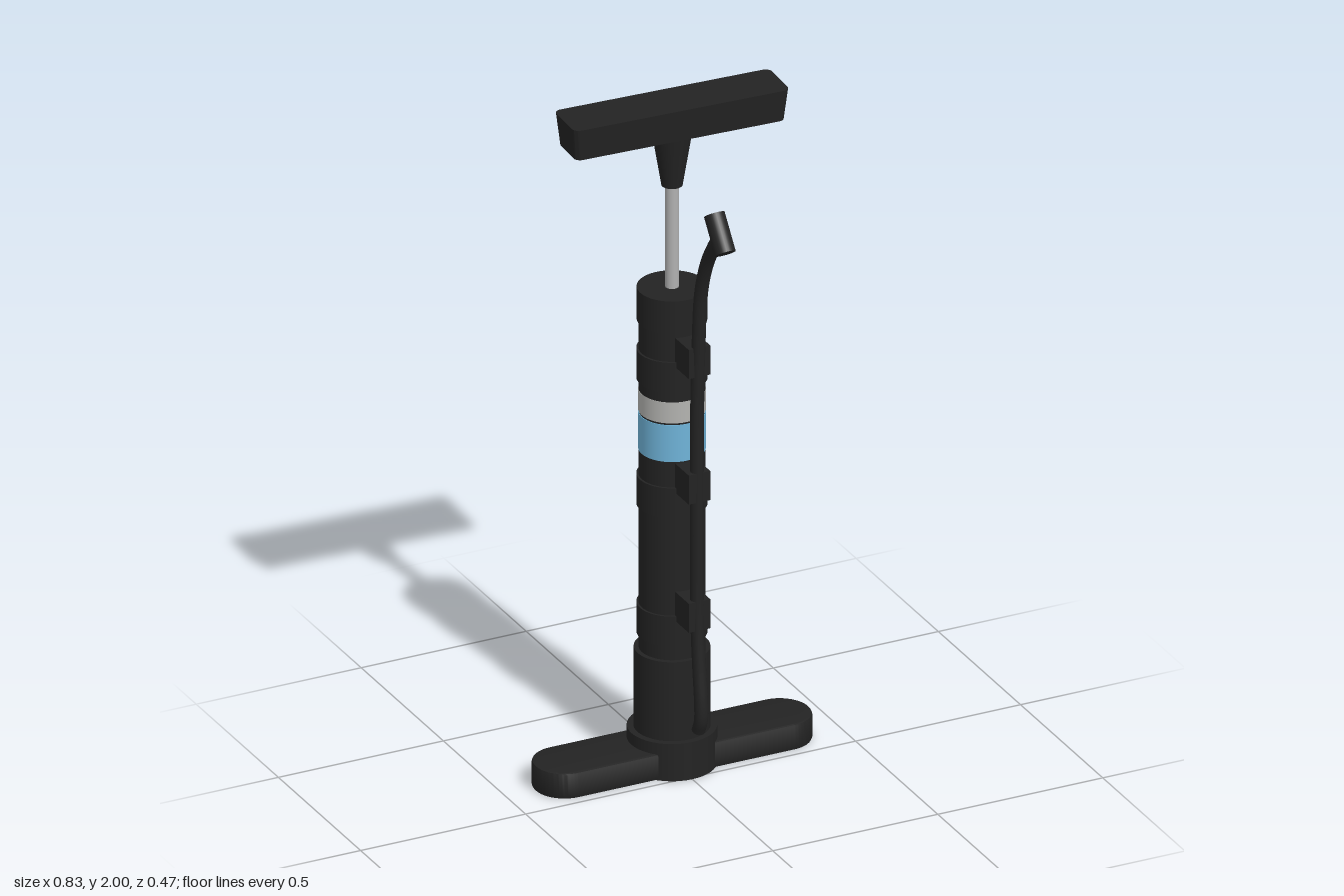
import * as THREE from 'three';
import { toCreasedNormals } from 'three/addons/utils/BufferGeometryUtils.js';

const AXIS_Z = -0.113; // the pump axis sits behind the centre

function material(name, color) {
  const m = new THREE.MeshStandardMaterial({ color });
  m.name = name;
  return m;
}

// Rounded rectangle w by d, extruded upwards from y = 0 to h
function roundedSlab(w, d, r, h, bevel) {
  const x = w / 2 - bevel, y = d / 2 - bevel;
  const s = new THREE.Shape();
  s.moveTo(-x + r, -y);
  s.lineTo(x - r, -y);
  s.absarc(x - r, -y + r, r, -Math.PI / 2, 0);
  s.absarc(x - r, y - r, r, 0, Math.PI / 2);
  s.absarc(-x + r, y - r, r, Math.PI / 2, Math.PI);
  s.absarc(-x + r, -y + r, r, Math.PI, Math.PI * 1.5);
  const g = new THREE.ExtrudeGeometry(s, {
    depth: h - 2 * bevel, curveSegments: 14, bevelEnabled: bevel > 0,
    bevelSize: bevel, bevelThickness: bevel, bevelSegments: 2,
  });
  g.translate(0, 0, bevel);
  g.rotateX(-Math.PI / 2);
  return g;
}

export function createModel() {
  const group = new THREE.Group();
  const black = material('black plastic', 0x232323);
  const blue = material('blue band', 0x6fb3d8);
  const grey = material('light grey band', 0xb3b3b0);
  const steel = material('steel', 0xb0b0b0);

  const add = (name, geometry, mat, x = 0, y = 0, z = 0) => {
    const mesh = new THREE.Mesh(geometry, mat);
    mesh.name = name;
    mesh.position.set(x, y, z);
    group.add(mesh);
    return mesh;
  };
  // Upright round section between two heights on the pump axis
  const section = (name, y0, y1, r0, r1, mat) =>
    add(name, new THREE.CylinderGeometry(r1, r0, y1 - y0, 48), mat, 0, (y0 + y1) / 2, AXIS_Z);

  // Foot plate and base
  add('footPlate', toCreasedNormals(roundedSlab(0.828, 0.178, 0.081, 0.077, 0.006), 0.5), black, 0, 0, AXIS_Z);
  section('baseFlange', 0, 0.112, 0.124, 0.123, black);
  section('baseSocket', 0.11, 0.35, 0.105, 0.104, black);

  // Barrel with its coloured bands
  section('lowerBarrel', 0.35, 0.95, 0.091, 0.091, black);
  section('blueBand', 0.95, 1.061, 0.092, 0.092, blue);
  section('bandGap', 1.061, 1.067, 0.09, 0.09, black);
  section('greyBand', 1.067, 1.13, 0.092, 0.092, grey);
  section('upperBarrel', 1.13, 1.36, 0.091, 0.091, black);
  section('barrelCap', 1.34, 1.438, 0.096, 0.096, black);

  // Collars, each with a hose clip just above its middle
  for (const y of [0.44, 0.828, 1.208]) {
    section('collar', y - 0.045, y + 0.045, 0.097, 0.097, black);
    add('hoseClip', new THREE.BoxGeometry(0.065, 0.088, 0.095), black, 0, y + 0.073, 0.007);
  }

  // Piston rod, handle neck and slightly turned handle
  section('pistonRod', 1.43, 1.76, 0.019, 0.019, steel);
  section('handleNeck', 1.745, 1.91, 0.029, 0.056, black);
  const grip = roundedSlab(0.64, 0.142, 0.02, 0.095, 0);
  const p = grip.attributes.position;
  for (let i = 0; i < p.count; i++) {
    const t = 1 - p.getY(i) / 0.095; // narrows towards the underside
    p.setX(i, p.getX(i) * (1 - 0.03 * t));
    p.setZ(i, p.getZ(i) * (1 - 0.14 * t));
  }
  grip.computeVertexNormals();
  add('handle', toCreasedNormals(grip, 0.5), black, 0, 1.905, AXIS_Z).rotation.y = -0.045;

  // Hose
  const path = [
    [0.165, 0.048], [0.2, 0.063], [0.25, 0.064], [0.36, 0.052], [0.5, 0.041], [0.8, 0.039],
    [1.13, 0.04], [1.34, 0.049], [1.5, 0.065], [1.6, 0.1], [1.67, 0.143], [1.72, 0.18],
  ].map(([y, z]) => new THREE.Vector3(0, y, z));
  const curve = new THREE.CatmullRomCurve3(path);
  add('hose', new THREE.TubeGeometry(curve, 80, 0.019, 16), black);

  // Closed hose tip
  const tip = add('hoseTip', new THREE.CircleGeometry(0.019, 16), black, 0, 0.165, 0.048);
  tip.lookAt(path[0].clone().sub(curve.getTangent(0)));

  // Valve head across the upper end of the hose
  add('valveHead', new THREE.CylinderGeometry(0.029, 0.029, 0.112, 28), black, 0, 1.724, 0.178)
    .rotation.x = -0.65;

  return group;
}
